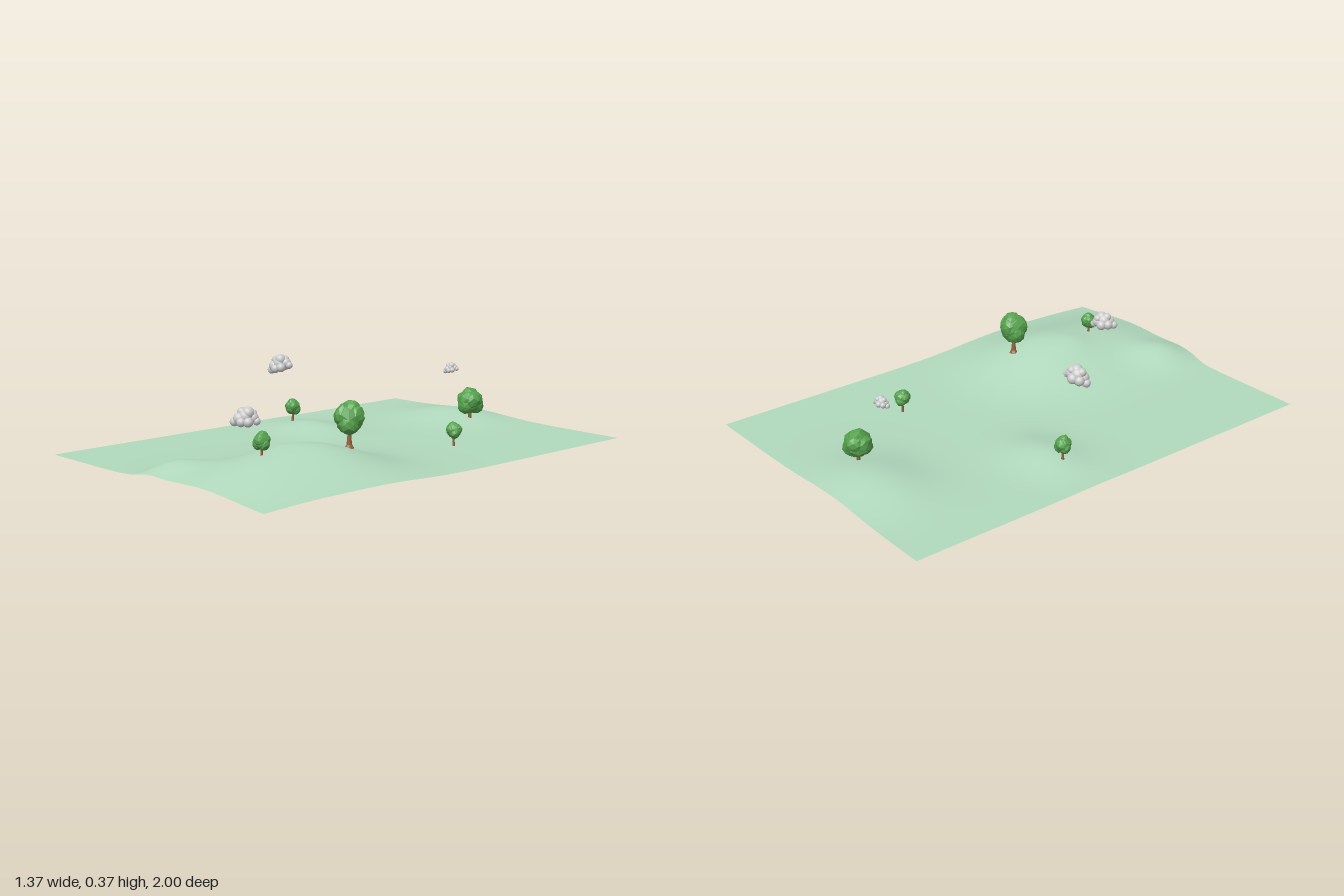
import * as THREE from 'three';

const mat = (color, extra = {}) => new THREE.MeshStandardMaterial({ color, ...extra });
const grass = mat(0xb0d8bc, { side: THREE.DoubleSide });
const leaf = mat(0x55a24d, { flatShading: true });
const bark = mat(0x96603c, { flatShading: true });
const grey = mat(0xcccccc);

// Hills: centre x, centre z, height, spread x, spread z
const hills = [
  [0.3, 0.42, 0.11, 0.2, 0.2],
  [0.3, 0.78, 0.065, 0.22, 0.18],
  [-0.01, 0.86, 0.043, 0.08, 0.09],
  [0.22, 0.53, 0.008, 0.06, 0.06],
  [-0.38, -0.15, 0.036, 0.13, 0.1],
  [-0.14, -0.81, 0.049, 0.17, 0.14],
];
const groundHeight = (x, z) => hills.reduce((y, [cx, cz, h, sx, sz]) =>
  y + h * Math.exp(-0.5 * (((x - cx) / sx) ** 2 + ((z - cz) / sz) ** 2)), 0.015);

function makeGround() {
  const geo = new THREE.PlaneGeometry(1.365, 1.98, 90, 130).rotateX(-Math.PI / 2).translate(-0.0075, 0, -0.01);
  const p = geo.attributes.position;
  for (let i = 0; i < p.count; i++) {
    const x = p.getX(i), z = p.getZ(i);
    // the front and right edges bulge slightly where the hills push out
    const front = THREE.MathUtils.smoothstep(x, -0.2, -0.06) * THREE.MathUtils.smoothstep(z, 0.7, 0.98);
    const right = THREE.MathUtils.smoothstep(x, 0.45, 0.675) * Math.exp(-(((z - 0.5) / 0.3) ** 2));
    p.setXYZ(i, x + 0.008 * right, groundHeight(x, z), z + 0.019 * front);
  }
  geo.computeVertexNormals();
  const ground = new THREE.Mesh(geo, grass);
  ground.name = 'ground';
  return ground;
}

// Uneven faceted clump of leaves, unit radius
function clump(seed) {
  const geo = new THREE.IcosahedronGeometry(1, 1);
  const p = geo.attributes.position, v = new THREE.Vector3();
  for (let i = 0; i < p.count; i++) {
    v.fromBufferAttribute(p, i);
    v.multiplyScalar(0.95 + 0.08 * Math.sin(7 * v.x + 5 * v.y + seed) * Math.cos(6 * v.z - seed));
    p.setXYZ(i, v.x, v.y, v.z);
  }
  geo.computeVertexNormals();
  return geo;
}

function makeTree(x, z, base, bottom, top, r, seed) {
  const tree = new THREE.Group();
  tree.name = 'tree';
  tree.position.set(x, base, z);
  const h = top - bottom, mid = (top + bottom) / 2 - base;

  // trunk with a flared foot
  const profile = [[0.3, 0], [0.17, 0.12], [0.12, 0.4], [0.13, 1]]
    .map(([pr, py]) => new THREE.Vector2(pr * r, py * mid));
  const trunk = new THREE.Mesh(new THREE.LatheGeometry(profile, 7), bark);
  trunk.material.side = THREE.DoubleSide;
  trunk.name = 'trunk';
  tree.add(trunk);

  // crown: a core with overlapping clumps round it
  const crown = new THREE.Group();
  crown.name = 'crown';
  crown.position.y = mid;
  crown.scale.set(r, h / 2, r);
  crown.rotation.y = seed;
  const add = (px, py, pz, s) => {
    const m = new THREE.Mesh(clump(seed + px * 5), leaf);
    m.name = 'leaves';
    m.position.set(px, py, pz);
    m.scale.setScalar(s);
    m.rotation.set(px * 3, seed, pz * 3);
    crown.add(m);
  };
  add(0, 0, 0, 0.9);
  for (let i = 0; i < 5; i++) {
    const a = i * Math.PI * 0.4;
    add(0.34 * Math.cos(a), i % 2 ? -0.25 : 0.12, 0.34 * Math.sin(a), 0.64);
  }
  add(0.1, 0.4, -0.05, 0.62);
  tree.add(crown);
  return tree;
}

// Puffs of a cloud about one unit long: x, y, z, radius
const puffs = [
  [0, 0.08, 0, 0.28], [0.08, 0.22, 0.04, 0.22], [-0.2, 0, 0.06, 0.22], [0.26, 0.06, -0.02, 0.2],
  [-0.37, -0.14, 0, 0.16], [0.4, -0.04, 0.03, 0.14], [-0.12, -0.1, 0.2, 0.17], [0.12, -0.08, 0.2, 0.18],
  [0.1, -0.04, -0.2, 0.2], [-0.16, -0.05, -0.18, 0.19], [-0.14, 0.22, -0.02, 0.17], [0.24, 0.2, -0.06, 0.15],
];
function makeCloud(x, y, z, size, turn, tilt) {
  const cloud = new THREE.Group();
  cloud.name = 'cloud';
  const geo = new THREE.SphereGeometry(1, 16, 12);
  for (const [px, py, pz, r] of puffs) {
    const puff = new THREE.Mesh(geo, grey);
    puff.name = 'puff';
    puff.position.set(px, py, pz);
    puff.scale.setScalar(r);
    cloud.add(puff);
  }
  cloud.position.set(x, y, z);
  cloud.rotation.set(0, turn, tilt);
  cloud.scale.setScalar(size);
  return cloud;
}

export function createModel() {
  const model = new THREE.Group();
  model.name = 'landscape';
  model.add(makeGround());

  // trees: x, z, foot, crown bottom, crown top, crown radius, seed
  const trees = [
    [0.337, 0.28, 0.1, 0.145, 0.295, 0.067, 0.4],
    [0.27, 0.67, 0.1, 0.132, 0.213, 0.038, 1.3],
    [0.02, -0.77, 0, 0.055, 0.185, 0.067, 2.1],
    [0.305, -0.355, 0, 0.043, 0.12, 0.038, 3.2],
    [-0.48, -0.135, 0.034, 0.065, 0.146, 0.038, 4.4],
  ];
  trees.forEach(t => model.add(makeTree(...t)));

  model.add(
    makeCloud(-0.385, 0.322, 0.02, 0.112, 0.45, 0.15),
    makeCloud(0.113, 0.23, 0.62, 0.112, 0.8, -0.1),
    makeCloud(-0.01, 0.277, -0.67, 0.066, 0.6, 0.1),
  );
  return model;
}
